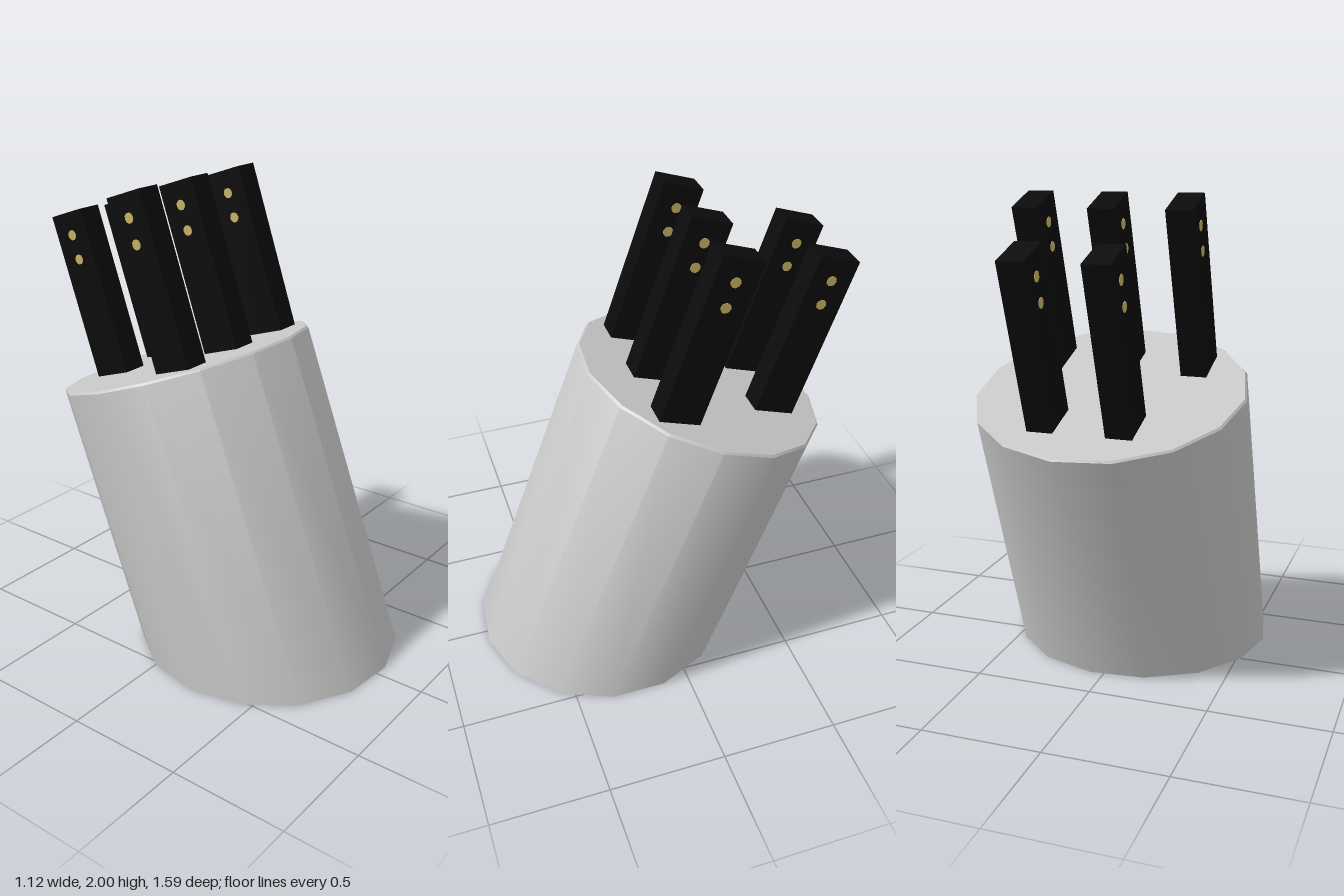
import * as THREE from 'three';
import { toCreasedNormals } from 'three/addons/utils/BufferGeometryUtils.js';

const TILT = 0.332; // backward lean of the handles

const steel = new THREE.MeshStandardMaterial({ color: 0xc8c8c8 });
steel.name = 'brushed steel';
const black = new THREE.MeshStandardMaterial({ color: 0x0b0b0b });
black.name = 'black handle';
const brass = new THREE.MeshStandardMaterial({ color: 0xc8b464 });
brass.name = 'brass rivet';

// Fifteen-sided cylinder sheared backward, with a sloped top and a fine bevel
function createBlock() {
  const R = 0.567;
  const profile = [[0, 0], [R, 0], [R, 0.993], [R - 0.008, 1], [0, 1]]
    .map(([r, y]) => new THREE.Vector2(r, y));
  const geo = new THREE.LatheGeometry(profile, 15, -Math.PI / 2);
  const p = geo.attributes.position;
  for (let i = 0; i < p.count; i++) {
    const z = p.getZ(i);
    const y = p.getY(i) * (1.215 + 0.301 * z);
    p.setY(i, y);
    p.setZ(i, z + 0.23 - 0.377 * y);
  }
  const mesh = new THREE.Mesh(toCreasedNormals(geo, 0.7), steel);
  mesh.name = 'block';
  return mesh;
}

// Handle hanging down from the centre of its top end, riveted on both sides
function createHandle(x, y, z) {
  const width = 0.108, depth = 0.179, length = 0.77;
  const handle = new THREE.Group();
  handle.name = 'knife';

  const grip = new THREE.Mesh(new THREE.BoxGeometry(width, length, depth), black);
  grip.name = 'handle';
  grip.position.y = -length / 2;
  handle.add(grip);

  for (const side of [-1, 1]) {
    for (const down of [0.097, 0.203]) {
      const rivet = new THREE.Mesh(new THREE.CylinderGeometry(0.022, 0.022, 0.004, 10), brass);
      rivet.name = 'rivet';
      rivet.rotation.z = Math.PI / 2;
      rivet.position.set(side * width / 2, -down, 0);
      handle.add(rivet);
    }
  }
  handle.position.set(x, y, z);
  handle.rotation.x = -TILT;
  return handle;
}

export function createModel() {
  const model = new THREE.Group();
  model.name = 'knifeBlock';
  model.add(createBlock());
  // Front row of three, back row of two
  for (const x of [-0.31, 0.005, 0.322]) model.add(createHandle(x, 1.971, -0.24));
  for (const x of [-0.153, 0.172]) model.add(createHandle(x, 1.809, -0.713));
  return model;
}
